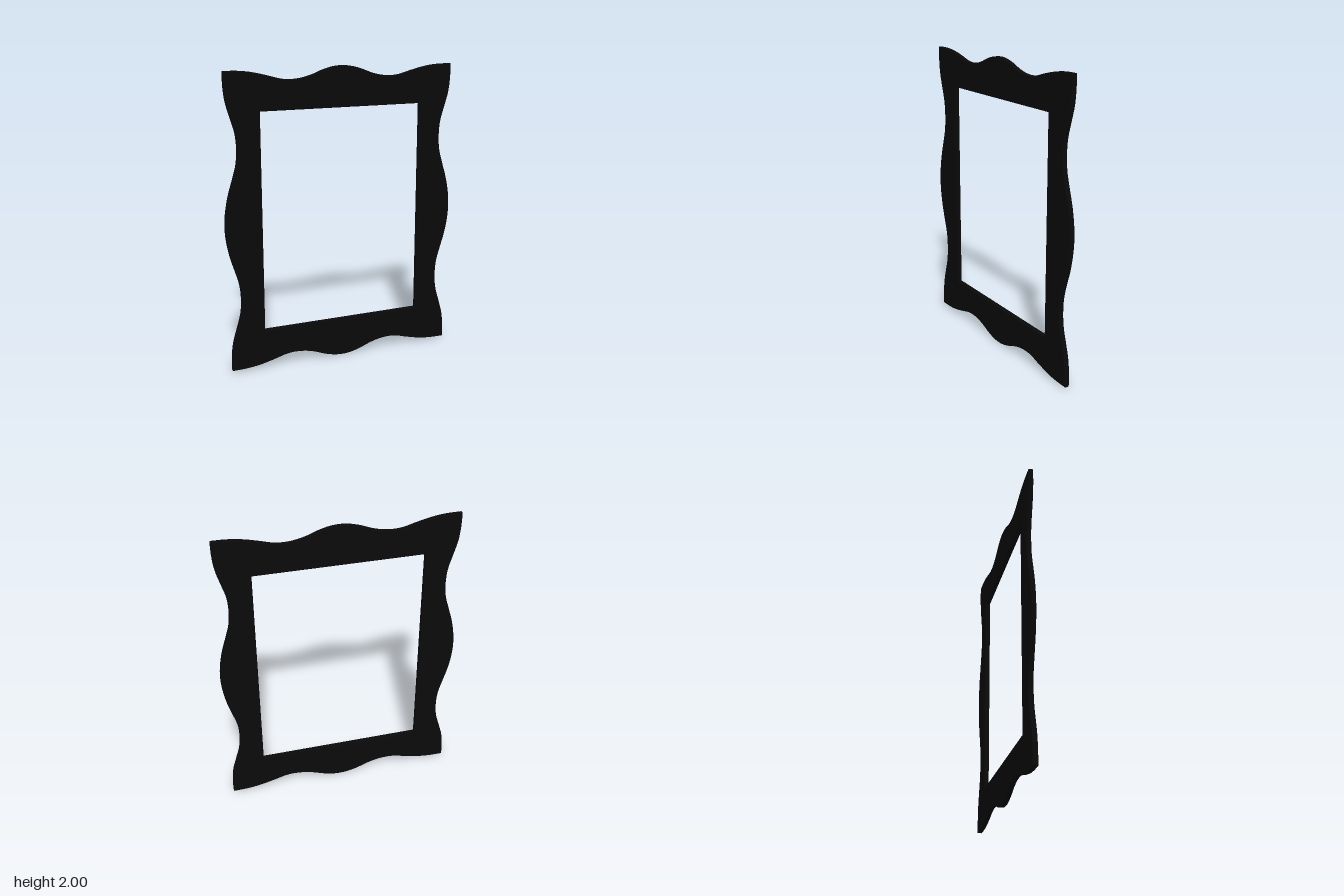
import * as THREE from 'three';

const HALF_DEPTH = 0.016, BEVEL = 0.004;

// Smooth wavy edge through the given points, sampled densely
function wave(points) {
  const curve = new THREE.CatmullRomCurve3(
    points.map(([x, y]) => new THREE.Vector3(x, y, 0)), false, 'centripetal');
  return curve.getPoints(64).map((p) => new THREE.Vector2(p.x, p.y));
}

export function createModel() {
  const group = new THREE.Group();
  group.name = 'pictureFrame';

  // Half of each edge, measured from the frame centre: middle crest, dip, corner
  const sideHalf = [[0.807, 0], [0.801, 0.09], [0.78, 0.2], [0.75, 0.3], [0.722, 0.4],
    [0.714, 0.5], [0.722, 0.6], [0.75, 0.7], [0.778, 0.8], [0.789, 0.9], [0.79, 0.987]];
  const topHalf = [[0, 0.998], [0.06, 0.993], [0.13, 0.975], [0.21, 0.945], [0.28, 0.928],
    [0.35, 0.922], [0.41, 0.927], [0.5, 0.951], [0.6, 0.974], [0.69, 0.985], [0.79, 0.987]];

  // Mirror the halves into whole edges, running counter-clockwise
  const right = wave([...sideHalf.slice(1).reverse().map(([x, y]) => [x, -y]), ...sideHalf]);
  const top = wave([...topHalf.slice(1).reverse(), ...topHalf.map(([x, y]) => [-x, y]).slice(0)]);
  const opposite = (edge) => edge.map((p) => p.clone().negate());
  const outline = [right, top, opposite(right), opposite(top)].flatMap((edge) => edge.slice(0, -1));

  // Rectangular opening
  const shape = new THREE.Shape(outline);
  const w = 0.56, h = 0.73;
  shape.holes.push(new THREE.Path([
    new THREE.Vector2(-w, -h), new THREE.Vector2(-w, h),
    new THREE.Vector2(w, h), new THREE.Vector2(w, -h),
  ]));

  // Thin board with softened edges
  const depth = 2 * (HALF_DEPTH - BEVEL);
  const geometry = new THREE.ExtrudeGeometry(shape, {
    depth, bevelEnabled: true, bevelThickness: BEVEL, bevelSize: BEVEL,
    bevelOffset: -BEVEL, bevelSegments: 2,
  });
  geometry.translate(0, 1, -depth / 2);

  const frame = new THREE.Mesh(geometry, new THREE.MeshStandardMaterial({ color: 0x0a0a0a }));
  frame.name = 'wavyFrame';
  group.add(frame);
  return group;
}
